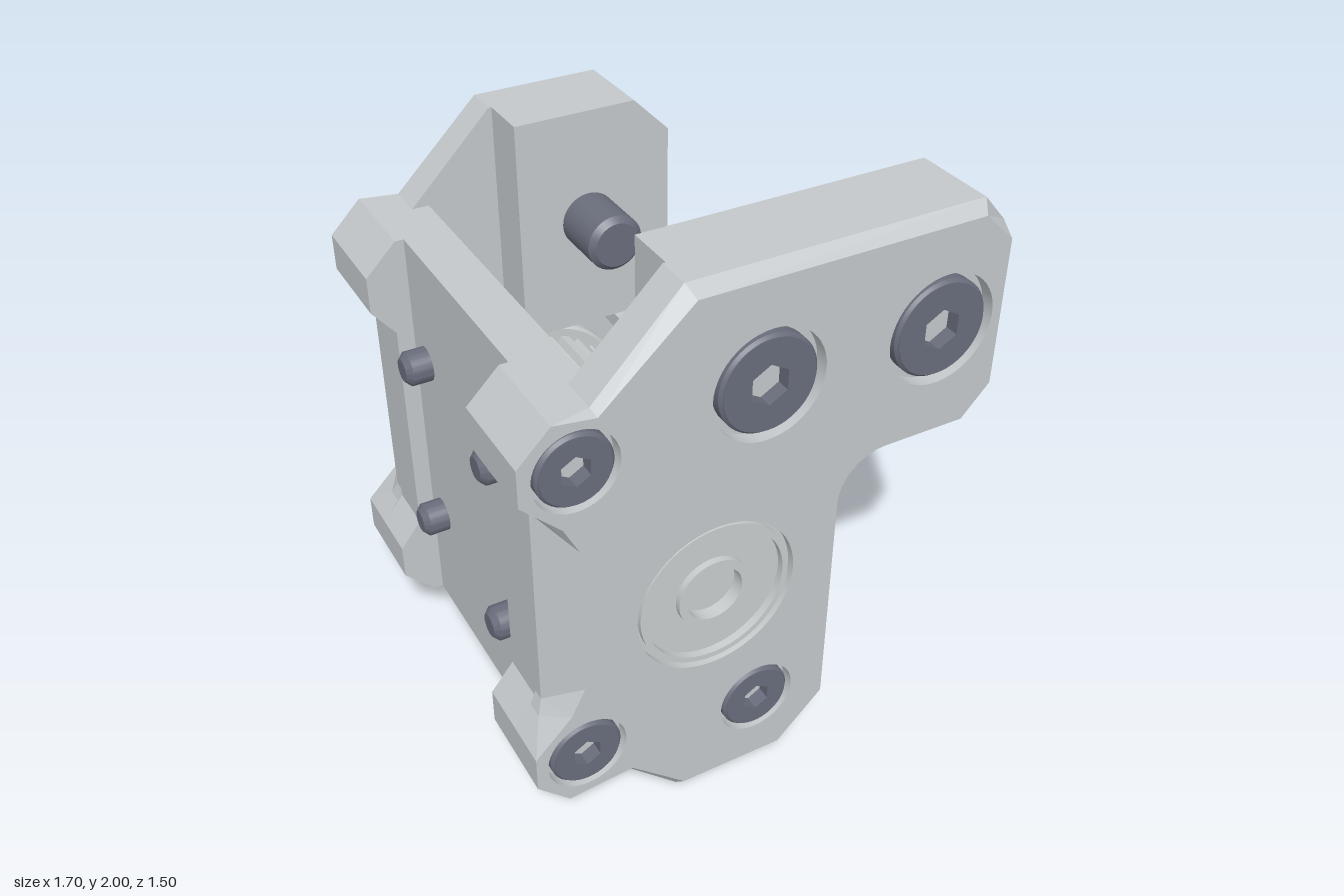
import * as THREE from 'three';
import { mergeGeometries, toCreasedNormals } from 'three/addons/utils/BufferGeometryUtils.js';

const mat = (name, color) => Object.assign(new THREE.MeshStandardMaterial({ color }), { name });

export function createModel() {
  const model = new THREE.Group();
  model.name = 'beltPulleyBracket';
  const plateGrey = mat('plateGrey', 0xc4c8cb);
  const steel = mat('steel', 0xc9cdcd);
  const screwGrey = mat('screwGrey', 0x696d7b);

  const add = (name, geo, material, parent = model) => {
    const mesh = new THREE.Mesh(geo, material);
    mesh.name = name;
    parent.add(mesh);
    return mesh;
  };
  const box = (x0, x1, y0, y1, z0, z1) =>
    new THREE.BoxGeometry(x1 - x0, y1 - y0, z1 - z0).translate((x0 + x1) / 2, (y0 + y1) / 2, (z0 + z1) / 2);
  const toShape = pts => new THREE.Shape(pts.map(p => new THREE.Vector2(p[0], p[1])));
  const hole = (x, y, r) => new THREE.Path().absarc(x, y, r, 0, Math.PI * 2, true);
  const extrude = (shape, z0, z1) => toCreasedNormals(
    new THREE.ExtrudeGeometry(shape, { depth: z1 - z0, bevelEnabled: false, curveSegments: 24 }), 0.5).translate(0, 0, z0);
  // [radius, z] profile turned about an axis parallel to z; dir -1 points it backwards
  const turned = (profile, x, y, dir = 1) => toCreasedNormals(
    new THREE.LatheGeometry(profile.map(p => new THREE.Vector2(p[0], p[1])), 48), 0.5)
    .rotateX(dir * Math.PI / 2).translate(x, y, 0);
  // Reverses the winding of a non-indexed geometry
  const flip = geo => {
    const a = geo.attributes.position.array;
    for (let i = 0; i < a.length; i += 9)
      for (let k = 3; k < 6; k++) [a[i + k], a[i + k + 3]] = [a[i + k + 3], a[i + k]];
    return geo;
  };

  // Plate with a bevelled outer face; points are [x, y, face x, face y, bevel depth]
  const INNER = 0.59, OUTER = 0.75;
  function plate(points, holes, side) {
    const tri = [];
    const quad = (a, b, c, d) => tri.push(...a, ...b, ...c, ...a, ...c, ...d);
    points.forEach((p, i) => {
      const q = points[(i + 1) % points.length];
      const ring = v => [[v[0], v[1], INNER], [v[0], v[1], OUTER - v[4]], [v[2], v[3], OUTER]];
      const P = ring(p), Q = ring(q);
      for (let k = 0; k < 2; k++) quad(P[k], Q[k], Q[k + 1], P[k + 1]);
    });
    const walls = new THREE.BufferGeometry();
    walls.setAttribute('position', new THREE.Float32BufferAttribute(tri, 3));
    const face = toShape(points.map(p => [p[2], p[3]]));
    face.holes = holes.map(h => hole(...h));
    const cap = (shape, z) => {
      const g = new THREE.ShapeGeometry(shape, 24).toNonIndexed().translate(0, 0, z);
      g.deleteAttribute('normal');
      g.deleteAttribute('uv');
      return g;
    };
    const geo = mergeGeometries([walls, cap(face, OUTER), flip(cap(toShape(points), INNER))]);
    if (side < 0) flip(geo.scale(1, 1, -1));
    geo.computeVertexNormals();
    return geo;
  }

  // Left edge of both plates: upper ear, scooped waist, lower ear, foot
  const flat = (x, y) => [x, y, x, y, 0.01];
  const earTop = [flat(-0.74, 1.7), flat(-0.85, 1.59), flat(-0.85, 1.46),
    [-0.79, 1.38, -0.72, 1.33, 0.1], [-0.77, 1.33, -0.67, 1.23, 0.12]];
  const earBottom = earTop.map(([x, y, a, b, d]) => [x, 1.9 - y, a, 1.9 - b, d]).reverse();
  const edge = [[-0.31, 2, -0.29, 1.96, 0.04], [-0.61, 1.7, -0.6, 1.68, 0.03], ...earTop, ...earBottom,
    [-0.52, 0.2, -0.51, 0.22, 0.03], [-0.32, 0, -0.31, 0.04, 0.04],
    [0.08, 0, 0.07, 0.04, 0.04], [0.27, 0.2, 0.24, 0.21, 0.04]];
  // Rounded inside corner under the front arm
  const corner = [];
  for (let i = 0; i <= 8; i++) {
    const t = Math.PI - i * Math.PI / 16, c = Math.cos(t), s = Math.sin(t);
    corner.push([0.41 + 0.14 * c, 1.05 + 0.14 * s, 0.41 + 0.17 * c, 1.05 + 0.17 * s, 0.04]);
  }
  const outlines = {
    front: [...edge, ...corner, [0.72, 1.19, 0.71, 1.22, 0.04], [0.85, 1.32, 0.81, 1.33, 0.09],
      [0.85, 1.87, 0.81, 1.855, 0.09], [0.72, 2, 0.7, 1.96, 0.04]],
    back: [...edge, [0.27, 1.87, 0.23, 1.855, 0.09], [0.14, 2, 0.12, 1.96, 0.04]],
  };
  const blocks = {
    front: [[-0.3, 2], [-0.3, 1.19], [0.72, 1.19], [0.85, 1.32], [0.85, 1.87], [0.72, 2]],
    back: [[-0.3, 2], [-0.3, 1.19], [0.27, 1.19], [0.27, 1.87], [0.14, 2]],
  };

  // Socket screw with its head top at z = 0 and its shaft along -z
  function screw(name, r, shaftR, length) {
    const g = new THREE.Group();
    g.name = name;
    const head = new THREE.Shape().absarc(0, 0, r - 0.01, 0, Math.PI * 2);
    const hex = [];
    for (let i = 0; i < 6; i++) {
      const a = -i * Math.PI / 3 + Math.PI / 6;
      hex.push(new THREE.Vector2(Math.cos(a) * r * 0.42, Math.sin(a) * r * 0.42));
    }
    head.holes.push(new THREE.Path(hex));
    add('screwHeadTop', extrude(head, -0.06, 0), screwGrey, g);
    add('screwBody', turned([[0, -length], [shaftR - 0.02, -length], [shaftR, -length + 0.02], [shaftR, -0.1],
      [r, -0.1], [r, -0.012], [r - 0.012, -0.001], [r - 0.012, -0.06], [0, -0.06]], 0, 0), screwGrey, g);
    return g;
  }

  const AX = [-0.2, 0.85], IDLER = [-0.03, 0.31];
  for (const [name, s] of [['front', 1], ['back', -1]]) {
    const small = [[-0.67, 1.52], [-0.67, 0.38], IDLER];
    const big = s > 0 ? [[-0.04, 1.6], [0.58, 1.6]] : [[-0.04, 1.6]];
    const holes = [...small.map(p => [...p, 0.14]), ...big.map(p => [...p, 0.195]), [...AX, 0.285]];
    add(name + 'Plate', plate(outlines[name], holes, s), plateGrey);
    const block = toShape(blocks[name]);
    add(name + 'MountBlock', s > 0 ? extrude(block, 0.41, 0.6) : extrude(block, -0.6, -0.41), plateGrey);
    const ledge = s > 0 ? box(0, 0.32, 1.135, 1.19, 0.35, 0.6) : box(0.05, 0.27, 1.135, 1.19, -0.6, -0.35);
    add(name + 'BeltLedge', ledge, plateGrey);

    // Counterbores and screws
    holes.slice(0, -1).forEach(([x, y, r]) => {
      add(name + 'Counterbore', turned([[r, OUTER], [r, 0.7], [0, 0.7]], x, y, s), plateGrey);
      const sc = r > 0.15 ? screw(name + 'MountScrew', 0.17, 0.1, 0.55) : screw(name + 'PlateScrew', 0.125, 0.06, 0.15);
      sc.position.set(x, y, s * 0.749);
      if (s < 0) sc.rotation.y = Math.PI;
      model.add(sc);
    });

    // Bearing, seen on both faces of the plate
    add(name + 'Bearing', turned([[0.285, 0.75], [0.285, 0.72], [0.27, 0.72], [0.27, 0.742], [0.25, 0.742], [0.25, 0.715],
      [0.13, 0.715], [0.13, 0.738], [0.1, 0.738], [0.1, 0.69], [0, 0.69]], ...AX, s), steel);
    add(name + 'BearingInside', turned([[0.27, -0.6], [0.27, -0.582], [0.24, -0.582], [0.24, -0.588], [0.16, -0.588],
      [0.16, -0.565], [0, -0.565]], ...AX, -s), steel);

    // End flange of the side web
    const fl = toShape([[-0.55, 0.2], [-0.55, 1.7], [-0.74, 1.7], [-0.85, 1.59], [-0.85, 1.46], [-0.77, 1.36],
      [-0.77, 0.54], [-0.85, 0.44], [-0.85, 0.31], [-0.74, 0.2]]);
    add(name + 'WebFlange', s > 0 ? extrude(fl, 0.41, 0.59) : extrude(fl, -0.59, -0.41), plateGrey);
  }

  // Side web: solid back layer and a counterbored inner layer
  add('webBack', box(-0.71, -0.61, 0.2, 1.7, -0.41, 0.41), plateGrey);
  const layer = toShape([[-0.41, 0.2], [0.41, 0.2], [0.41, 1.7], [-0.41, 1.7]]);
  for (const z of [-0.305, 0.305]) for (const y of [0.63, 1.28]) {
    layer.holes.push(hole(z, y, 0.14));
    const sc = screw('webScrew', 0.125, 0.06, 0.245);
    sc.rotation.y = Math.PI / 2;
    sc.position.set(-0.555, y, z);
    model.add(sc);
  }
  add('webInner', extrude(layer, -0.61, -0.55).rotateY(Math.PI / 2), plateGrey);

  // Upper axle: sleeve, toothed pulley and flanges
  const disc = (r, z0, z1) => [[0, z0], [r, z0], [r, z1], [0, z1]];
  add('axle', turned(disc(0.1, -0.6, 0.6), ...AX), steel);
  add('sleeve', turned([[0, 0], [0.14, 0], [0.14, 0.03], [0.16, 0.035], [0.16, 0.55], [0.15, 0.56], [0, 0.56]], ...AX), steel);
  const teeth = [], N = 22;
  for (let i = 0; i < N; i++)
    for (const [f, r] of [[0, 0.26], [0.5, 0.26], [0.6, 0.22], [0.9, 0.22]]) {
      const a = (i + f) / N * Math.PI * 2;
      teeth.push([AX[0] + r * Math.cos(a), AX[1] + r * Math.sin(a)]);
    }
  add('toothedPulley', extrude(toShape(teeth), -0.51, -0.04), steel);
  for (const [z0, z1] of [[-0.045, 0.01], [-0.56, -0.5]])
    add('pulleyFlange', turned([[0, z0], [0.29, z0], [0.3, z0 + 0.01], [0.3, z1 - 0.01], [0.29, z1], [0, z1]], ...AX), steel);

  // Lower axle: shaft, collars and smooth grooved idler
  add('idlerShaft', turned(disc(0.105, -0.59, 0.59), ...IDLER), steel);
  for (const [z0, z1] of [[-0.59, -0.55], [-0.055, 0.018], [0.55, 0.59]])
    add('idlerCollar', turned(disc(0.16, z0, z1), ...IDLER), steel);
  const body = [[0, 0.04], [0.26, 0.04]];
  for (const z of [0.18, 0.39]) body.push([0.26, z - 0.006], [0.25, z - 0.006], [0.25, z + 0.006], [0.26, z + 0.006]);
  add('idlerRoller', turned([...body, [0.26, 0.53], [0, 0.53]], ...IDLER), steel);
  for (const [z0, z1] of [[0.025, 0.06], [0.51, 0.545]])
    add('idlerFlange', turned([[0.2, z0 + 0.02], [0.2, z0], [0.3, z0], [0.3, z1], [0.2, z1], [0.2, z1 - 0.02]], ...IDLER), steel);
  return model;
}
